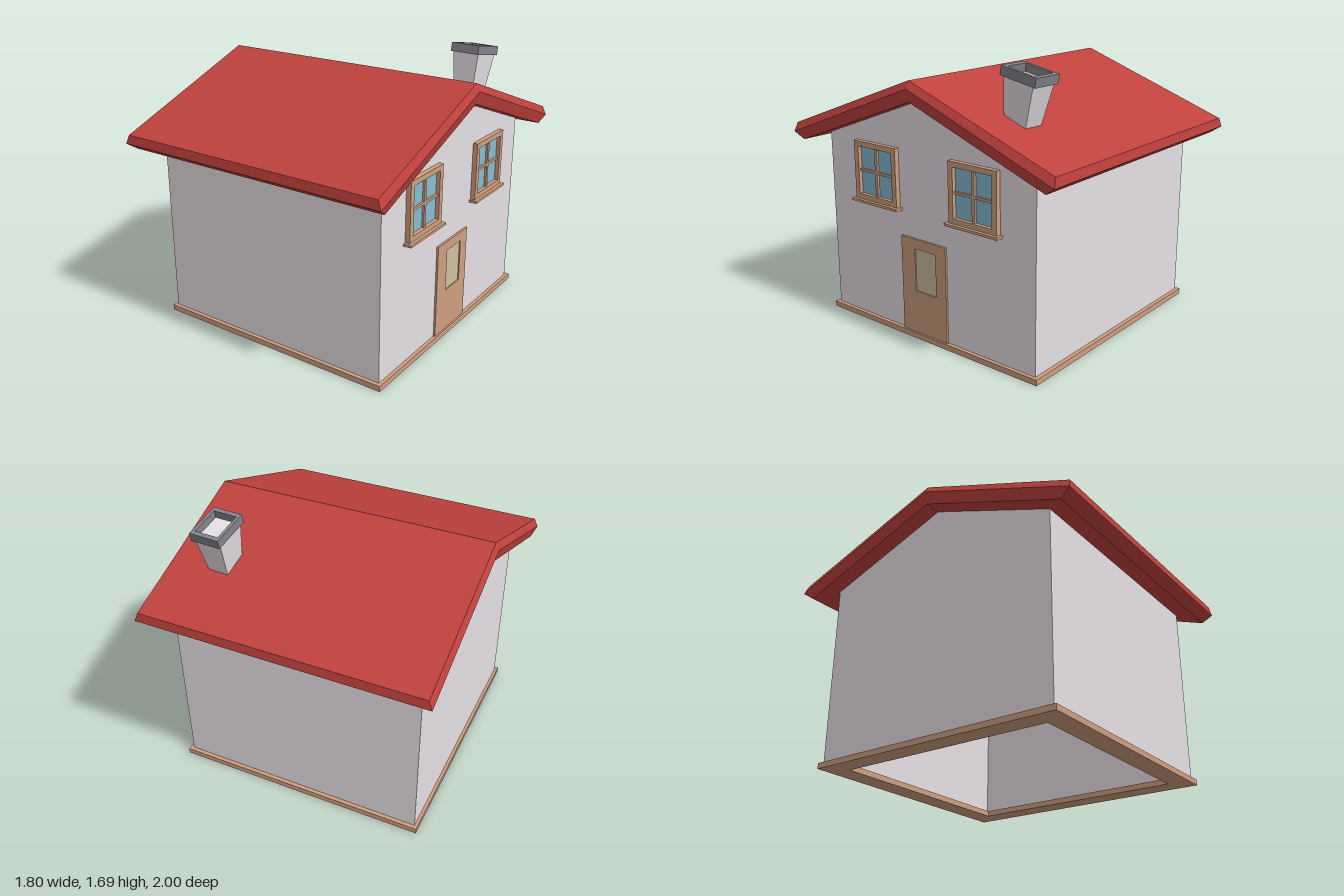
import * as THREE from 'three';

const paint = (color) => new THREE.MeshStandardMaterial({ color, flatShading: true });
const wallMat = paint(0xe6e0e4), roofMat = paint(0xc0423e), woodMat = paint(0xcf9f80);
const glassMat = paint(0x88bcd2), paneMat = paint(0xcfc0a2), capMat = paint(0x85838c);

function add(parent, name, geometry, material, x = 0, y = 0, z = 0) {
  const mesh = new THREE.Mesh(geometry, material);
  mesh.name = name;
  mesh.position.set(x, y, z);
  parent.add(mesh);
  return mesh;
}
const box = (w, h, d) => new THREE.BoxGeometry(w, h, d);

// Rectangular frame in the XY plane with a rectangular opening, extruded along +Z
function frame(w, h, innerW, innerH, depth, holeX = 0, holeY = 0) {
  const rect = (P, rw, rh, cx, cy) => {
    const p = new P();
    p.moveTo(cx - rw / 2, cy - rh / 2);
    p.lineTo(cx + rw / 2, cy - rh / 2);
    p.lineTo(cx + rw / 2, cy + rh / 2);
    p.lineTo(cx - rw / 2, cy + rh / 2);
    p.closePath();
    return p;
  };
  const shape = rect(THREE.Shape, w, h, 0, 0);
  shape.holes.push(rect(THREE.Path, innerW, innerH, holeX, holeY));
  return new THREE.ExtrudeGeometry(shape, { depth, bevelEnabled: false });
}

// Gabled slab with a bevelled rim, lofted through levels of [halfX, halfZ, ridgeY, eaveY]
function roofGeometry(levels) {
  const points = [], index = [];
  for (const [x, z, ridge, eave] of levels) {
    points.push(x, eave, z, x, ridge, 0, x, eave, -z, -x, eave, -z, -x, ridge, 0, -x, eave, z);
  }
  const quad = (a, b, c, d) => index.push(a, b, c, a, c, d);
  for (let l = 0; l < levels.length - 1; l++) {
    for (let i = 0; i < 6; i++) {
      const j = (i + 1) % 6, lo = l * 6, hi = lo + 6;
      quad(lo + i, lo + j, hi + j, hi + i);
    }
  }
  const t = (levels.length - 1) * 6;
  quad(t, t + 1, t + 4, t + 5);
  quad(t + 1, t + 2, t + 3, t + 4);
  quad(5, 4, 1, 0);
  quad(4, 3, 2, 1);
  const g = new THREE.BufferGeometry();
  g.setAttribute('position', new THREE.Float32BufferAttribute(points, 3));
  g.setIndex(index);
  const flat = g.toNonIndexed();
  flat.computeVertexNormals();
  return flat;
}

// Window facing +Z around its own centre
function makeWindow() {
  const win = new THREE.Group();
  win.name = 'window';
  add(win, 'windowFrame', frame(0.35, 0.36, 0.28, 0.295, 0.035), woodMat, 0, 0, -0.005);
  add(win, 'glass', box(0.29, 0.3, 0.01), glassMat, 0, 0, 0.001);
  add(win, 'verticalBar', box(0.02, 0.3, 0.02), woodMat, 0, 0, 0.01);
  add(win, 'horizontalBar', box(0.29, 0.016, 0.018), woodMat, 0, 0, 0.01);
  add(win, 'sill', box(0.385, 0.016, 0.055), woodMat, 0, -0.187, 0.0225);
  return win;
}

// Leaning chimney that widens upward, with an open cap
function makeChimney() {
  const chimney = new THREE.Group();
  chimney.name = 'chimney';
  const stack = new THREE.CylinderGeometry(Math.SQRT1_2, Math.SQRT1_2 * 0.69, 0.3, 4);
  stack.rotateY(Math.PI / 4);
  stack.scale(0.175, 1, 0.21);
  add(chimney, 'chimneyStack', stack, wallMat, 0, -0.17, 0);
  const cap = frame(0.19, 0.248, 0.15, 0.19, 0.055);
  cap.rotateX(-Math.PI / 2);
  add(chimney, 'chimneyCap', cap, capMat, 0, -0.0275, 0);
  chimney.position.set(0.563, 1.637, -0.585);
  chimney.rotation.set(-0.18, -0.05, 0, 'YXZ');
  return chimney;
}

export function createModel() {
  const house = new THREE.Group();
  house.name = 'house';

  // Base ring, open in the middle
  const base = frame(1.595, 1.65, 1.34, 1.38, 0.035);
  base.rotateX(-Math.PI / 2);
  add(house, 'baseFrame', base, woodMat);

  // Gable walls at both x ends, plain walls at front and back
  const t = 0.09;
  const gable = new THREE.Shape();
  gable.moveTo(-0.8, 0.035);
  gable.lineTo(0.8, 0.035);
  gable.lineTo(0.8, 1.2);
  gable.lineTo(0, 1.495);
  gable.lineTo(-0.8, 1.2);
  gable.closePath();
  const gableGeo = new THREE.ExtrudeGeometry(gable, { depth: t, bevelEnabled: false });
  gableGeo.rotateY(Math.PI / 2);
  add(house, 'leftGableWall', gableGeo, wallMat, 0.775 - t);
  add(house, 'rightGableWall', gableGeo, wallMat, -0.778);
  for (const s of [1, -1]) {
    add(house, s > 0 ? 'frontWall' : 'backWall', box(1.553 - 2 * t, 1.165, t), wallMat,
      -0.0015, 0.6175, s * (0.8 - t / 2));
  }

  // Roof slab
  add(house, 'roof', roofGeometry([
    [0.88, 0.935, 1.465, 1.12],
    [0.9, 1.0, 1.54, 1.165],
    [0.878, 0.992, 1.585, 1.22],
  ]), roofMat);

  house.add(makeChimney());

  // Door and windows, built facing +Z and turned onto the left gable wall
  const facade = new THREE.Group();
  facade.name = 'facade';
  facade.rotation.y = Math.PI / 2;
  facade.position.x = 0.775;
  add(facade, 'door', frame(0.355, 0.597, 0.165, 0.265, 0.017, 0.015, 0.105), woodMat,
    -0.0175, 0.3325, -0.005);
  add(facade, 'doorPane', box(0.17, 0.27, 0.008), paneMat, -0.0025, 0.4375, 0.001);
  for (const s of [1, -1]) {
    const win = makeWindow();
    win.name = s > 0 ? 'backWindow' : 'frontWindow';
    win.position.set(s * 0.3825, 0.978, 0);
    facade.add(win);
  }
  house.add(facade);
  return house;
}
